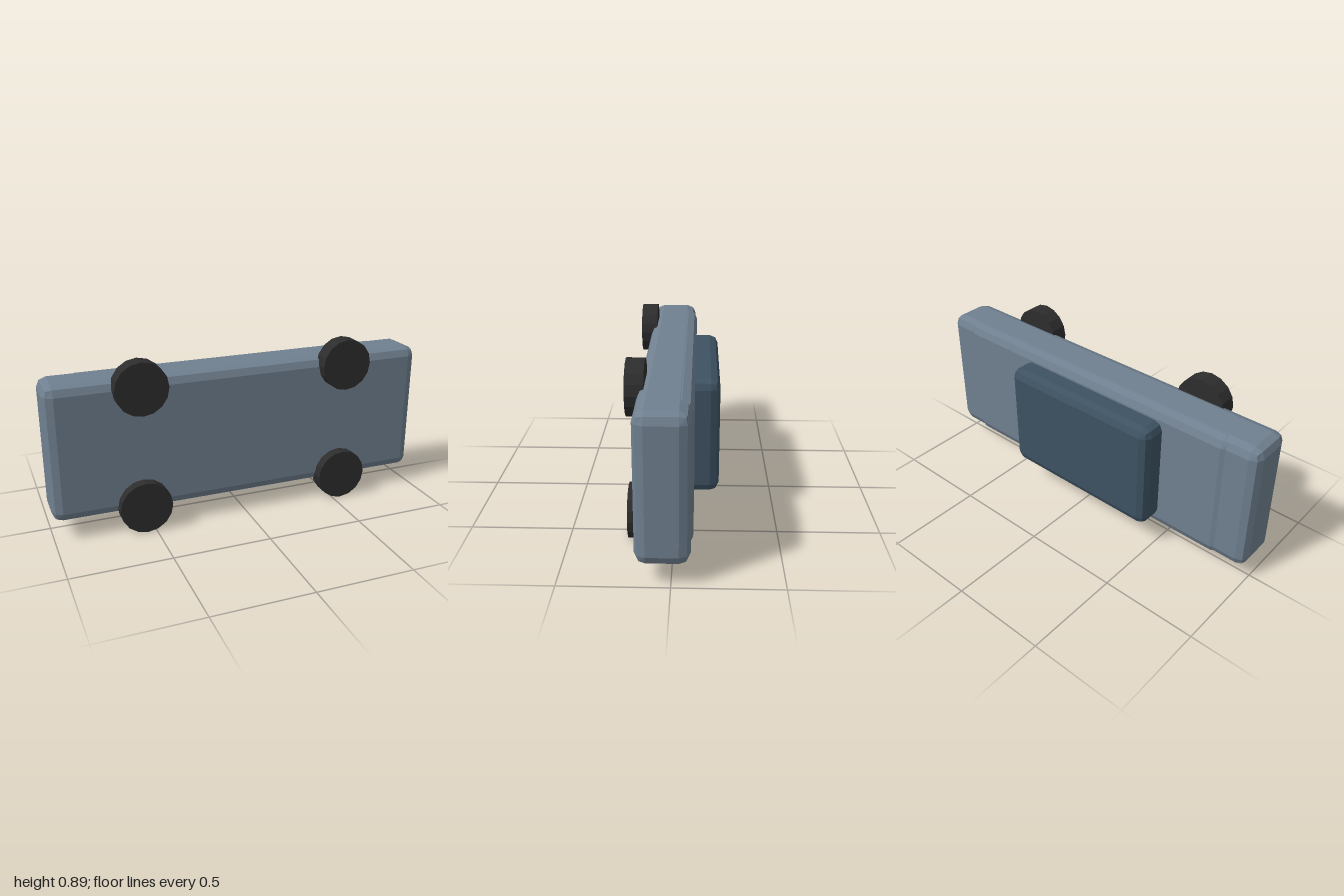
import * as THREE from 'three';
import { RoundedBoxGeometry } from 'three/addons/geometries/RoundedBoxGeometry.js';

const mat = (name, color) => {
  const m = new THREE.MeshStandardMaterial({ color, flatShading: true });
  m.name = name;
  return m;
};

export function createModel() {
  const car = new THREE.Group();
  car.name = 'car';
  const paint = mat('slate paint', 0x708090);
  const cabinPaint = mat('dark blue cabin', 0x3d5262);
  const rubber = mat('black rubber', 0x2d2d2d);

  // Bevelled box given by its extents
  const block = (name, [x0, x1], [y0, y1], [z0, z1], bevel, material) => {
    const mesh = new THREE.Mesh(new RoundedBoxGeometry(x1 - x0, y1 - y0, z1 - z0, 1, bevel), material);
    mesh.position.set((x0 + x1) / 2, (y0 + y1) / 2, (z0 + z1) / 2);
    mesh.name = name;
    car.add(mesh);
  };

  // The car lies on its side: roof towards -z, wheels towards +z
  block('body', [-1, 1], [0.096, 0.795], [-0.085, 0.16], 0.05, paint);
  block('upperDeck', [-0.86, 0.86], [0.097, 0.794], [-0.094, 0.08], 0.05, paint);
  block('cabin', [-0.49, 0.405], [0.156, 0.735], [-0.215, 0.02], 0.045, cabinPaint);

  // Four wheels with their axes along z
  const wheelGeo = new THREE.CylinderGeometry(0.134, 0.134, 0.086, 16);
  wheelGeo.rotateX(Math.PI / 2);
  for (const x of [-0.545, 0.545]) {
    for (const y of [0.134, 0.755]) {
      const wheel = new THREE.Mesh(wheelGeo, rubber);
      wheel.position.set(x, y, 0.172);
      wheel.name = 'wheel';
      car.add(wheel);
    }
  }
  return car;
}
